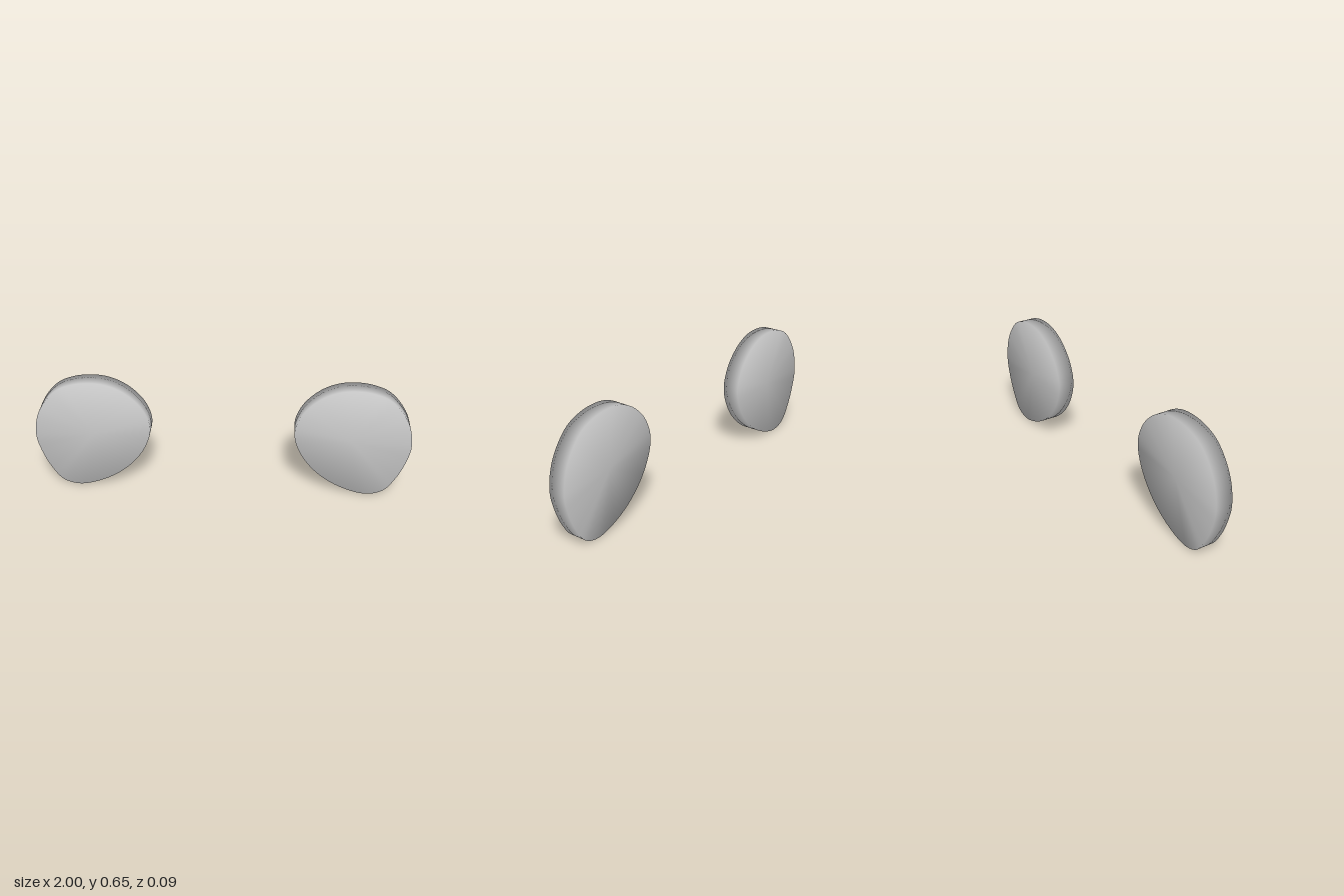
import * as THREE from 'three';
import { mergeVertices } from 'three/addons/utils/BufferGeometryUtils.js';

const SEGMENTS = 128;
const THICKNESS = 0.094;
const CENTRE = new THREE.Vector2(0.69, 0.335);

// Rounded outline of the left lens, counter-clockwise from its outer edge
const outline = new THREE.CatmullRomCurve3([
  [1, 0.32], [0.97, 0.465], [0.875, 0.592], [0.78, 0.636], [0.68, 0.648], [0.595, 0.636],
  [0.505, 0.591], [0.42, 0.5], [0.382, 0.385], [0.412, 0.265], [0.5, 0.141],
  [0.63, 0.047], [0.785, 0], [0.875, 0.026], [0.935, 0.107], [0.98, 0.215],
].map(([x, y]) => new THREE.Vector3(x, y, 0)), true);
const rim = outline.getSpacedPoints(SEGMENTS);

// A flat disc reshaped to the outline; side is +1 for left, -1 for right
function makeLens(side) {
  let geometry = new THREE.CylinderGeometry(1, 1, THICKNESS, SEGMENTS).rotateX(Math.PI / 2);
  const position = geometry.attributes.position;
  for (let i = 0; i < position.count; i++) {
    const x = side * position.getX(i);
    const y = position.getY(i);
    const turn = Math.round(Math.atan2(y, x) / (2 * Math.PI) * SEGMENTS);
    const target = Math.hypot(x, y) < 0.5 ? CENTRE : rim[(turn + SEGMENTS) % SEGMENTS];
    position.setXY(i, side * target.x, target.y);
  }
  // Shared vertices give soft shading across the rim
  geometry.deleteAttribute('normal');
  geometry.deleteAttribute('uv');
  geometry = mergeVertices(geometry);
  geometry.computeVertexNormals();
  return geometry;
}

export function createModel() {
  const group = new THREE.Group();
  group.name = 'lensPair';
  const material = new THREE.MeshStandardMaterial({ color: 0xcccccc });
  for (const [name, side] of [['leftLens', 1], ['rightLens', -1]]) {
    const lens = new THREE.Mesh(makeLens(side), material);
    lens.name = name;
    group.add(lens);
  }
  return group;
}
